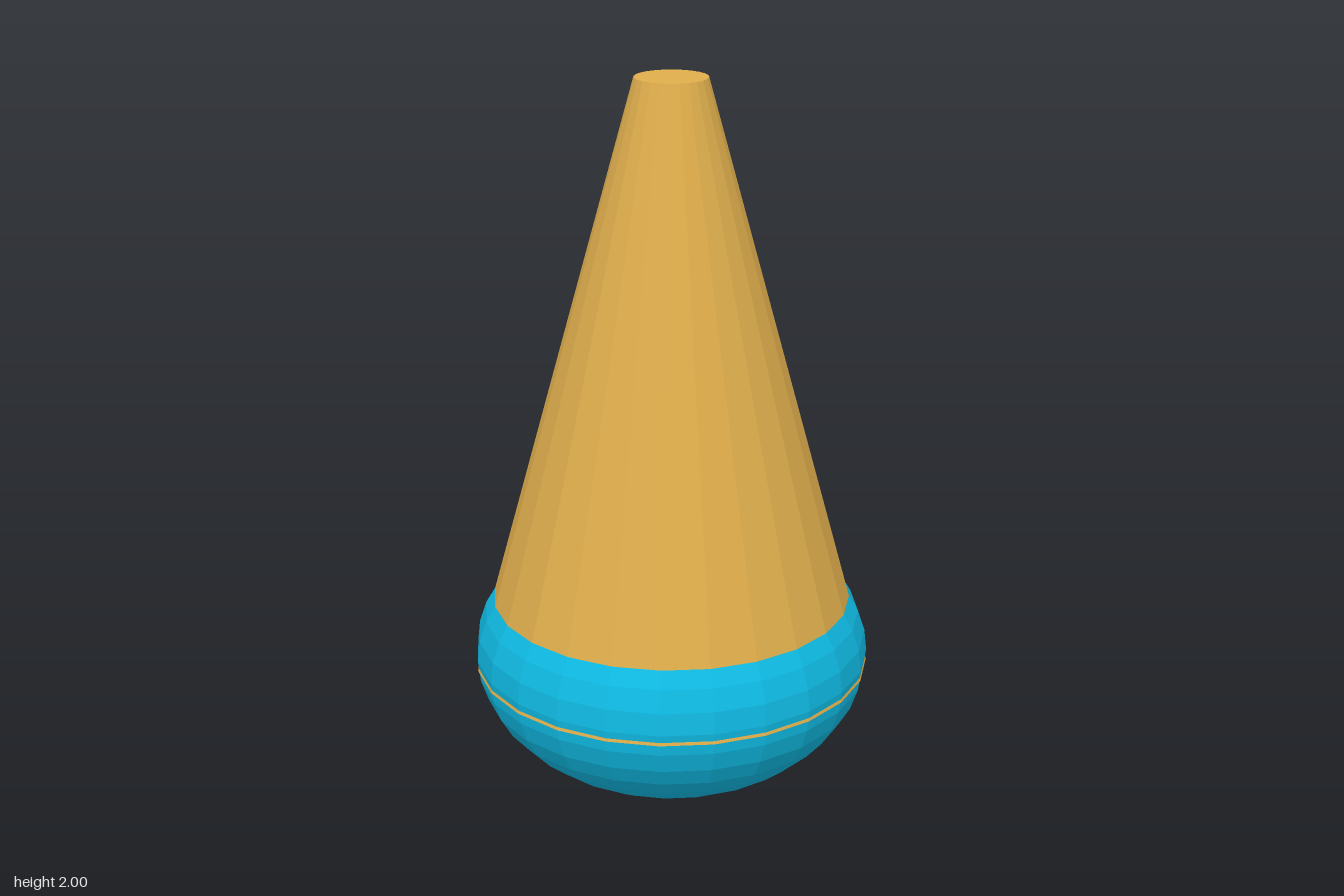
import * as THREE from 'three';

const SIDES = 24;

export function createModel() {
  const gold = new THREE.MeshStandardMaterial({ color: 0xdfae4c });
  gold.name = 'gold';
  const blue = new THREE.MeshStandardMaterial({ color: 0x0fb9e2 });
  blue.name = 'bright blue';
  gold.flatShading = blue.flatShading = true;

  const model = new THREE.Group();
  model.name = 'coneOnBowl';

  // Tapered body; its bottom rim just breaks through the base as a thin line
  const bottom = 0.357;
  const cone = new THREE.Mesh(
    new THREE.CylinderGeometry(0.098, 0.55, 2 - bottom, SIDES), gold);
  cone.name = 'taperedBody';
  cone.position.y = (2 + bottom) / 2;

  // Rounded base: a flattened faceted sphere
  const baseHeight = 0.386;
  const baseGeometry = new THREE.SphereGeometry(0.55, SIDES, 20);
  baseGeometry.scale(1, baseHeight / 0.55, 1);
  const base = new THREE.Mesh(baseGeometry, blue);
  base.name = 'roundedBase';
  base.position.y = baseHeight;

  model.add(cone, base);
  return model;
}
